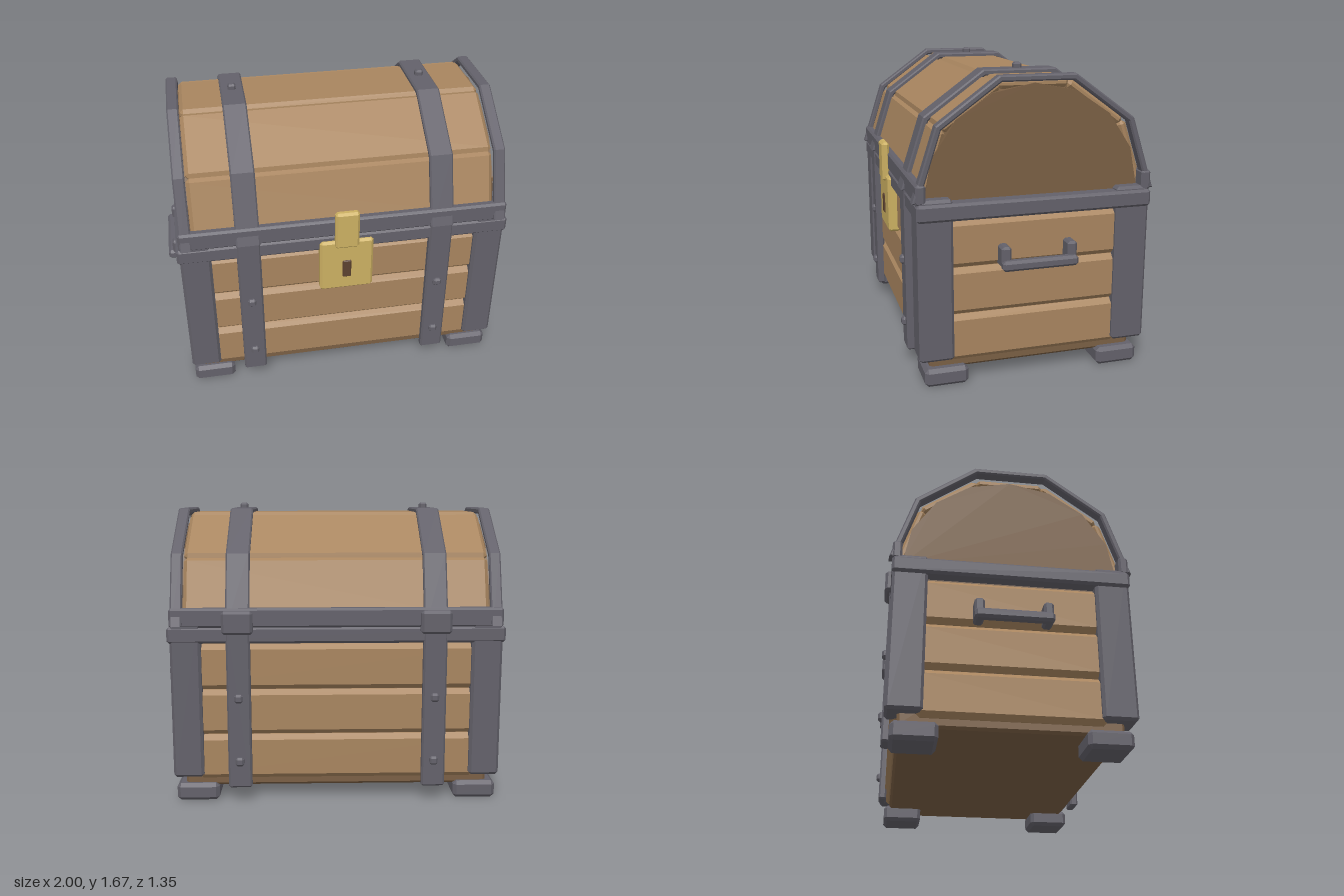
import * as THREE from 'three';
import { ConvexGeometry } from 'three/addons/geometries/ConvexGeometry.js';

const mat = (name, color) => {
  const m = new THREE.MeshStandardMaterial({ color, flatShading: true });
  m.name = name;
  return m;
};

// Box with a single flat chamfer on every edge
function chamferBox(w, h, d, b) {
  const pts = [];
  for (const sx of [-1, 1]) for (const sy of [-1, 1]) for (const sz of [-1, 1]) {
    const x = w / 2, y = h / 2, z = d / 2;
    pts.push(
      new THREE.Vector3(sx * x, sy * (y - b), sz * (z - b)),
      new THREE.Vector3(sx * (x - b), sy * y, sz * (z - b)),
      new THREE.Vector3(sx * (x - b), sy * (y - b), sz * z));
  }
  return new ConvexGeometry(pts);
}

// Extrude a side profile of [z, y] points along x, centred
function alongX(points, width, bevel) {
  const shape = new THREE.Shape(points.map(([z, y]) => new THREE.Vector2(z, y)));
  const geo = new THREE.ExtrudeGeometry(shape, {
    depth: width - 2 * bevel, bevelEnabled: bevel > 0, bevelSegments: 1,
    bevelSize: bevel, bevelThickness: bevel, bevelOffset: -bevel,
  });
  return geo.translate(0, 0, -width / 2 + bevel).rotateY(Math.PI / 2);
}

// Points on a half circle, from front to back
const arc = (r, n, cy) => Array.from({ length: n + 1 }, (_, i) => {
  const a = (i / n) * Math.PI;
  return [r * Math.cos(a), cy + r * Math.sin(a)];
});

export function createModel() {
  const chest = new THREE.Group();
  chest.name = 'chest';
  const wood = mat('plank wood', 0xa8855f);
  const core = mat('dark wood', 0x7a5f44);
  const iron = mat('iron', 0x63616a);
  const gold = mat('brass', 0xccb062);
  const hole = mat('keyhole brown', 0x5c4230);

  const add = (name, geo, material, x = 0, y = 0, z = 0) => {
    const mesh = new THREE.Mesh(geo, material);
    mesh.name = name;
    mesh.position.set(x, y, z);
    chest.add(mesh);
    return mesh;
  };
  // Chamfered box given by its minimum and maximum on each axis
  const block = (name, material, [x0, x1], [y0, y1], [z0, z1], b = 0.012) =>
    add(name, chamferBox(Math.abs(x1 - x0), y1 - y0, Math.abs(z1 - z0), b), material,
      (x0 + x1) / 2, (y0 + y1) / 2, (z0 + z1) / 2);
  const sides = [-1, 1];

  // Body core and planks
  block('bodyCore', core, [-0.86, 0.86], [0.08, 0.96], [-0.575, 0.575], 0.015);
  for (let i = 0; i < 3; i++) {
    const y = [0.13 + i * 0.26, 0.387 + i * 0.26];
    for (const s of sides) {
      block('longPlank', wood, [-0.79, 0.79], y, [s * 0.52, s * 0.61], 0.028);
      block('endPlank', wood, [s * 0.8, s * 0.893], y, [-0.49, 0.49], 0.028);
    }
  }

  // Corner posts and feet
  for (const sx of sides) for (const sz of sides) {
    block('cornerPost', iron, [sx * 0.75, sx * 0.92], [0.15, 1.03], [sz * 0.45, sz * 0.638], 0.015);
    block('foot', iron, [sx * 0.67, sx * 0.91], [0, 0.1], [sz * 0.37, sz * 0.608], 0.02);
  }

  // Rim and lid rails
  block('rim', iron, [-0.935, 0.935], [0.917, 1.01], [-0.642, 0.642], 0.014);
  for (const s of sides)
    block('lidRail', iron, [-0.92, 0.92], [1.005, 1.113], [s * 0.59, s * 0.643]);

  // Domed lid: core and five planks
  const lidY = 1.015;
  add('lidCore', alongX(arc(0.59, 8, 1.005), 1.71, 0), core);
  for (let i = 0; i < 5; i++) {
    const a = (i - 2) * Math.PI / 5;
    const r = 0.577;
    const plank = add('lidPlank', chamferBox(1.69, 0.055, 0.382, 0.02), wood,
      0, lidY + r * Math.cos(a), r * Math.sin(a));
    plank.rotation.x = a;
  }

  // Iron bands over the lid
  const bandProfile = [...arc(0.66, 5, lidY), ...arc(0.625, 5, lidY).reverse()];
  for (const s of sides) {
    add('endBand', alongX(bandProfile, 0.065, 0.008), iron, s * 0.88);
    add('lidStrap', alongX(bandProfile, 0.132, 0.008), iron, s * 0.545);
    block('topBolt', iron, [s * 0.522, s * 0.568], [1.63, 1.673], [-0.023, 0.023], 0.01);

    // Body straps, bolts and hinges
    for (const f of sides) {
      block('bodyStrap', iron, [s * 0.479, s * 0.611], [0.09, 1.03], [f * 0.6, f * 0.648], 0.01);
      for (const y of [0.245, 0.61])
        block('bolt', iron, [s * 0.521, s * 0.569], [y - 0.024, y + 0.024], [f * 0.63, f * 0.668], 0.011);
    }
    block('hinge', iron, [s * 0.46, s * 0.632], [0.97, 1.1], [-0.61, -0.675], 0.015);

    // Side handle
    for (const f of sides)
      block('handleMount', iron, [s * 0.87, s * 0.972], [0.65, 0.768], [f * 0.155, f * 0.208], 0.012);
    block('handleGrip', iron, [s * 0.945, s * 1.0], [0.642, 0.698], [-0.208, 0.208], 0.014);
  }

  // Lock
  block('lockPlate', gold, [-0.152, 0.152], [0.647, 0.98], [0.59, 0.661], 0.013);
  block('hasp', gold, [-0.068, 0.068], [0.94, 1.172], [0.632, 0.677], 0.013);
  block('keyhole', hole, [-0.025, 0.025], [0.733, 0.848], [0.64, 0.669], 0.006);

  return chest;
}
